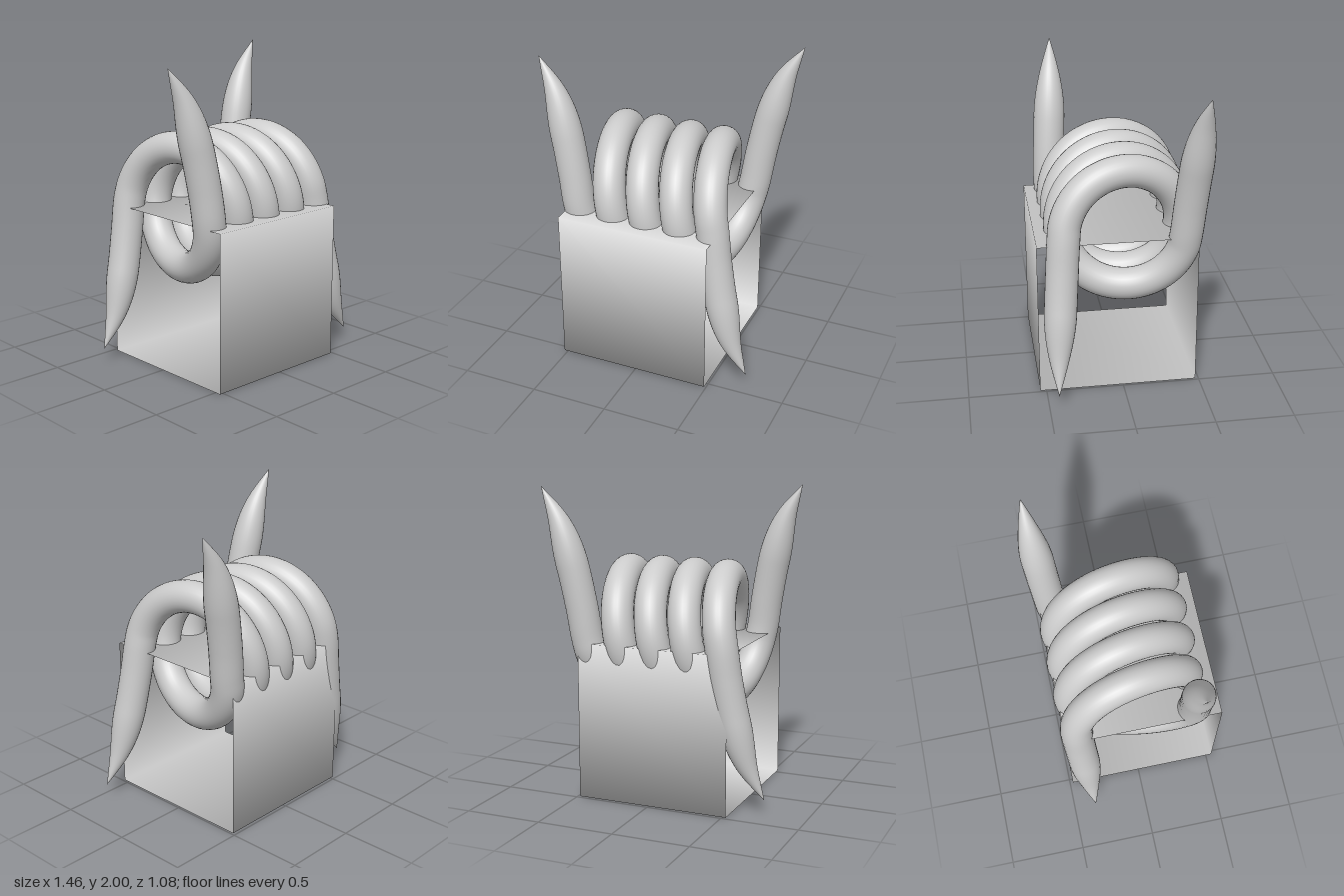
import * as THREE from 'three';
import { mergeVertices } from 'three/addons/utils/BufferGeometryUtils.js';

const AXIS_Y = 1.05, AXIS_Z = -0.015; // coil axis runs along x
const COIL_R = 0.385, WIRE_R = 0.1035, HALF_LENGTH = 0.458;

// Wire: two helix turns with a straight barb running off each end
function wireCurve() {
  const v = (x, y, z) => new THREE.Vector3(x, y, z);
  const points = [v(-0.73, 2, 0.32), v(-0.615, 1.78, 0.335), v(-0.54, 1.52, 0.35), v(-0.487, 1.25, 0.365)];
  const steps = 48;
  for (let i = 0; i <= steps; i++) {
    const t = i / steps, a = t * Math.PI * 4;
    points.push(v(HALF_LENGTH * (2 * t - 1), AXIS_Y - COIL_R * Math.sin(a), AXIS_Z + COIL_R * Math.cos(a)));
  }
  points.push(v(0.487, 0.85, 0.385), v(0.54, 0.58, 0.405), v(0.615, 0.32, 0.425), v(0.73, 0.1, 0.44));
  const curve = new THREE.CatmullRomCurve3(points);
  curve.arcLengthDivisions = 1500;
  return curve;
}

// Round tube whose ends taper smoothly to points
function barbedWireGeometry() {
  const curve = wireCurve(), segments = 320, sides = 28, taper = 0.54;
  const length = curve.getLength();
  const tube = new THREE.TubeGeometry(curve, segments, WIRE_R, sides, false);
  const pos = tube.attributes.position, p = new THREE.Vector3();
  for (let i = 0; i <= segments; i++) {
    const centre = curve.getPointAt(i / segments);
    const fromTip = Math.min(i, segments - i) / segments * length;
    const k = Math.sin(Math.min(fromTip / taper, 1) * Math.PI / 2);
    for (let j = 0; j <= sides; j++) {
      const n = i * (sides + 1) + j;
      p.fromBufferAttribute(pos, n).sub(centre).multiplyScalar(k).add(centre);
      pos.setXYZ(n, p.x, p.y, p.z);
    }
  }
  tube.deleteAttribute('uv');
  tube.deleteAttribute('normal');
  const geometry = mergeVertices(tube, 1e-5);
  geometry.computeVertexNormals();
  return geometry;
}

export function createModel() {
  const group = new THREE.Group();
  const grey = new THREE.MeshStandardMaterial({ color: 0xcccccc });
  const greyBoth = new THREE.MeshStandardMaterial({ color: 0xcccccc, side: THREE.DoubleSide });

  // Two identical strands, half a turn apart about the coil axis
  const geometry = barbedWireGeometry();
  geometry.translate(0, -AXIS_Y, -AXIS_Z);
  ['firstStrand', 'secondStrand'].forEach((name, i) => {
    const strand = new THREE.Mesh(geometry, grey);
    strand.name = name;
    strand.position.set(0, AXIS_Y, AXIS_Z);
    strand.rotation.x = i * Math.PI;
    group.add(strand);
  });

  // Square sleeve, open at both ends, with normals blended round its corners
  const radius = 0.509 * Math.SQRT2;
  const sleeveGeometry = new THREE.CylinderGeometry(radius, radius, 1.012, 4, 1, true, Math.PI / 4);
  sleeveGeometry.rotateZ(Math.PI / 2);
  const sleeve = new THREE.Mesh(sleeveGeometry, greyBoth);
  sleeve.name = 'squareSleeve';
  sleeve.position.set(-0.019, 0.509, 0.03);
  group.add(sleeve);

  return group;
}
